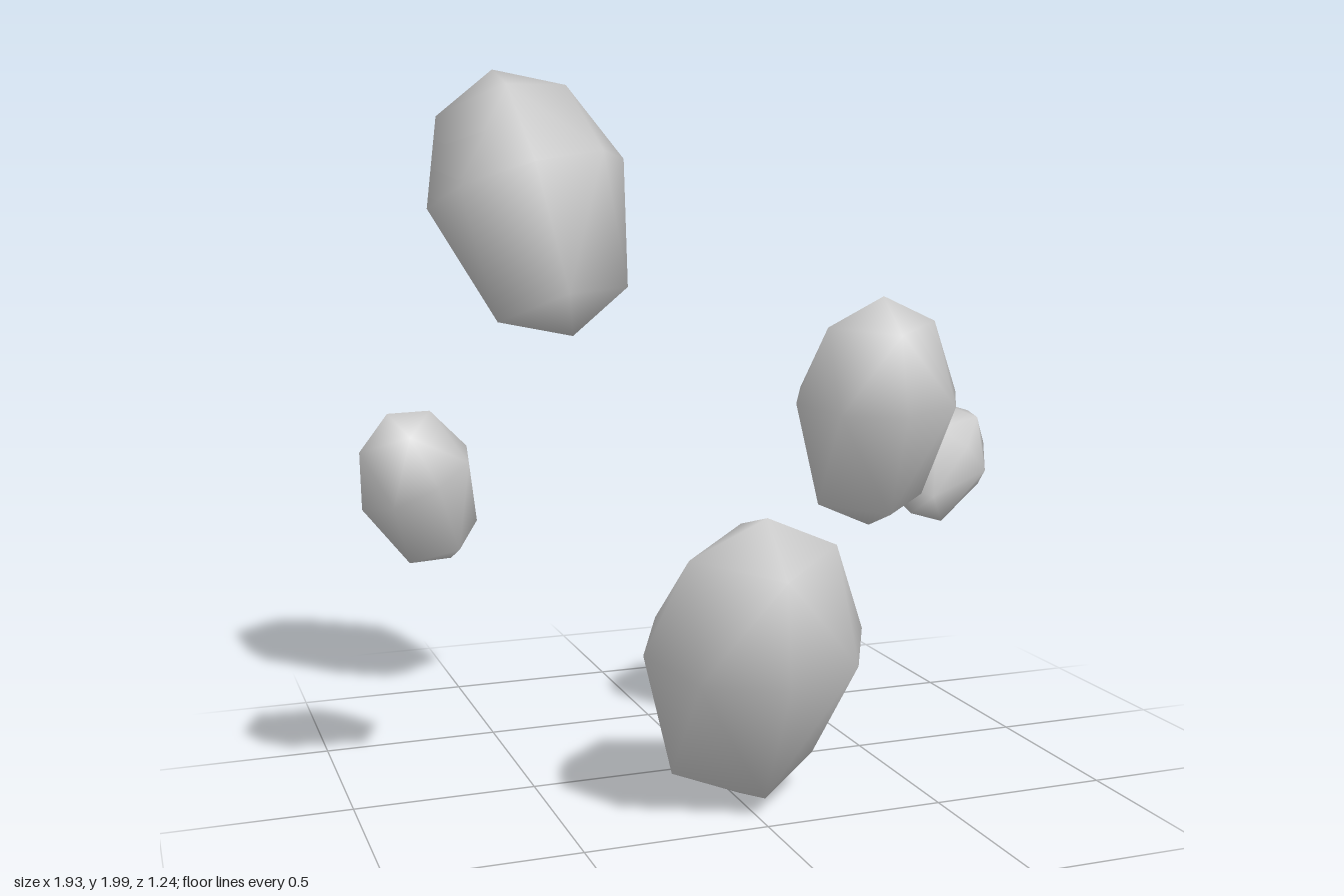
import * as THREE from 'three';
import { mergeVertices } from 'three/addons/utils/BufferGeometryUtils.js';

// One smooth-shaded, faceted pebble: an 18-point ball with blunt ends and a raised waist.
function pebbleGeometry() {
  let geo = new THREE.OctahedronGeometry(1, 1);
  geo.deleteAttribute('uv');
  geo.deleteAttribute('normal');
  geo = mergeVertices(geo, 1e-3);
  const p = geo.attributes.position;
  for (let i = 0; i < p.count; i++) {
    const y = p.getY(i);
    if (Math.abs(y) < 0.1) {
      p.setY(i, 0.14); // waist sits above the middle
    } else if (Math.abs(y) < 0.9) {
      p.setXYZ(i, p.getX(i) * 0.935, Math.sign(y) * 0.765, p.getZ(i) * 0.935); // blunt shoulders
    }
  }
  geo.computeVertexNormals();
  return geo;
}

// centre, half-length vector of the long axis, direction of the wide axis
const PEBBLES = [
  { name: 'lowerFrontPebble', at: [0.01, 0.418, 0.365], up: [-0.01, 0.41, 0.12], side: [1, 0.04, 0] },
  { name: 'leftPebble', at: [0.51, 1.02, 0.06], up: [-0.01, 0.34, 0.06], side: [1, 0.03, 0] },
  { name: 'upperBackPebble', at: [-0.385, 1.62, -0.375], up: [-0.085, 0.38, -0.115], side: [0.285, 0.08, 0.02] },
  { name: 'smallLeftPebble', at: [0.8, 0.84, -0.09], up: [0.13, 0.14, -0.07], side: [0.11, -0.09, 0.01] },
  { name: 'smallRightPebble', at: [-0.79, 0.865, -0.055], up: [-0.09, 0.21, 0.045], side: [0.155, 0.065, -0.04] },
];

export function createModel() {
  const group = new THREE.Group();
  group.name = 'floatingPebbles';
  const geo = pebbleGeometry();
  const material = new THREE.MeshStandardMaterial({ color: 0xcccccc });

  for (const { name, at, up, side } of PEBBLES) {
    const yAxis = new THREE.Vector3(...up);
    const size = yAxis.length();
    yAxis.normalize();
    const zAxis = new THREE.Vector3(...side).cross(yAxis).normalize();
    const xAxis = new THREE.Vector3().crossVectors(yAxis, zAxis);

    const mesh = new THREE.Mesh(geo, material);
    mesh.name = name;
    mesh.position.set(...at);
    mesh.quaternion.setFromRotationMatrix(new THREE.Matrix4().makeBasis(xAxis, yAxis, zAxis));
    mesh.scale.set(0.73 * size, size, 0.585 * size); // flattened front to back
    group.add(mesh);
  }
  return group;
}
